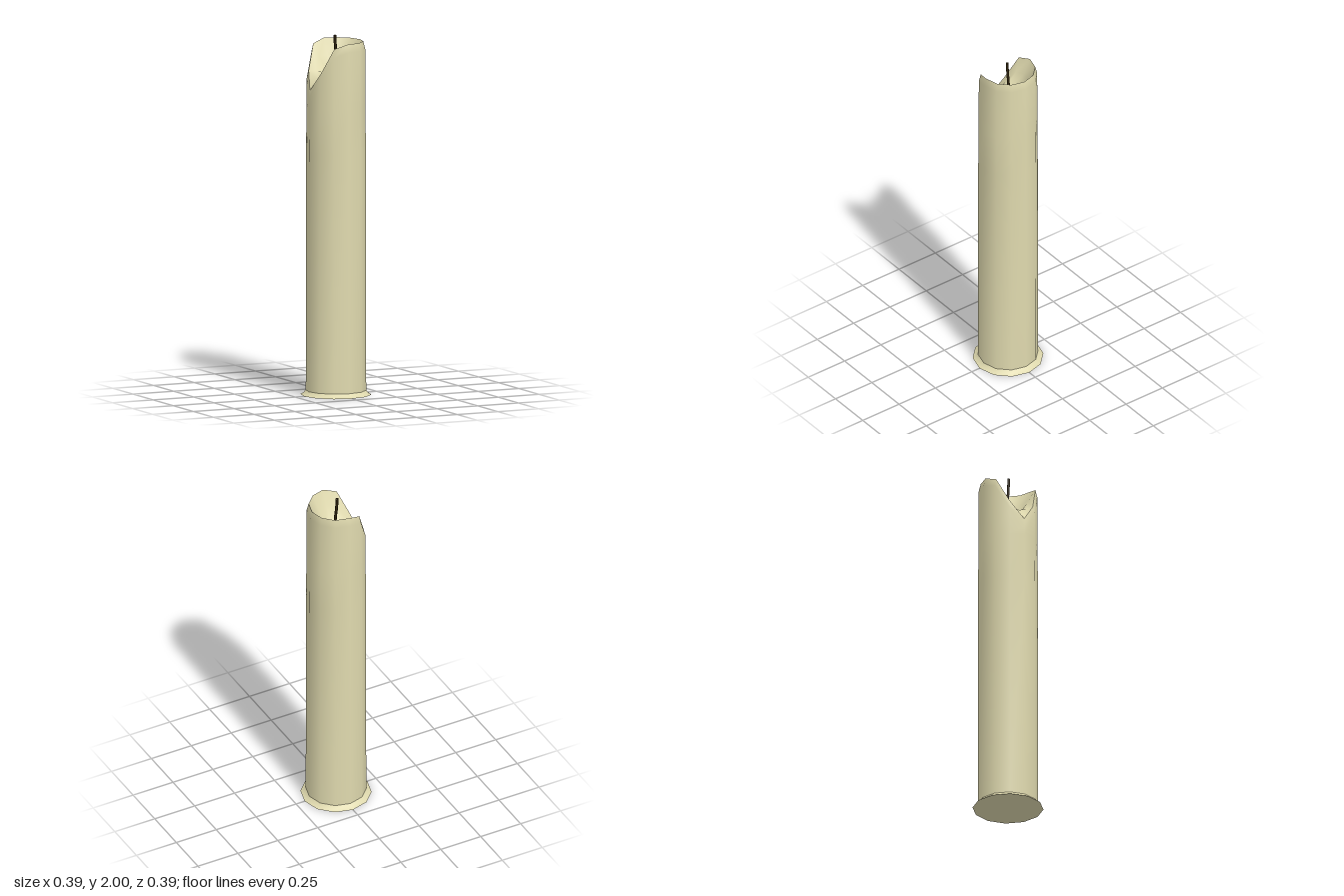
import * as THREE from 'three';

const SIDES = 12;
// How far the rim has melted down, by steps away from the -x spout
const MELT = [0.265, 0.165, 0.025];

// Turned surface whose points [radius, y, melt share, extra spout radius] sag at the spout
function turned(profile) {
  const pos = [], index = [];
  for (const [r, y, share = 0, extra = 0] of profile) {
    for (let i = 0; i < SIDES; i++) {
      const a = (i / SIDES) * Math.PI * 2;
      const step = Math.abs(i - SIDES / 2);
      const rad = r + (step === 0 ? extra : 0);
      pos.push(rad * Math.cos(a), y - share * (MELT[step] ?? 0), rad * Math.sin(a));
    }
  }
  for (let j = 0; j < profile.length - 1; j++) {
    for (let i = 0; i < SIDES; i++) {
      const k = (i + 1) % SIDES;
      const a = j * SIDES + i, b = j * SIDES + k;
      const c = a + SIDES, d = b + SIDES;
      index.push(a, c, b, b, c, d);
    }
  }
  const geo = new THREE.BufferGeometry();
  geo.setAttribute('position', new THREE.Float32BufferAttribute(pos, 3));
  geo.setIndex(index);
  geo.computeVertexNormals();
  return geo;
}

export function createModel() {
  const wax = new THREE.MeshStandardMaterial({ color: 0xdfd9ae });
  wax.name = 'wax';
  const char = new THREE.MeshStandardMaterial({ color: 0x2a1f0a });
  char.name = 'charred wick';

  const group = new THREE.Group();
  group.name = 'candle';
  const add = (name, geo, mat) => {
    const mesh = new THREE.Mesh(geo, mat);
    mesh.name = name;
    group.add(mesh);
    return mesh;
  };

  // Flat underside
  const bottom = add('underside', new THREE.CircleGeometry(0.196, SIDES), wax);
  bottom.rotation.x = Math.PI / 2;

  // Spread foot of wax
  add('foot', turned([[0.196, 0], [0.18, 0.009], [0.167, 0.024]]), wax);

  // Long shaft with a softened shoulder
  add('shaft', turned([
    [0.167, 0.02], [0.165, 1.35], [0.163, 1.6],
    [0.162, 1.92, 1, 0.002], [0.151, 1.965, 1, 0.009],
  ]), wax);

  // Melted hollow, open at the spout
  add('hollow', turned([
    [0.151, 1.965, 1, 0.009], [0.11, 1.88, 0.5], [0.068, 1.8], [0.04, 1.78], [0.0005, 1.775],
  ]), wax);

  // Slightly bent wick
  const path = new THREE.CatmullRomCurve3([
    new THREE.Vector3(0.004, 1.76, 0),
    new THREE.Vector3(0.005, 1.86, 0),
    new THREE.Vector3(-0.004, 1.94, 0),
    new THREE.Vector3(-0.007, 1.999, 0),
  ]);
  add('wick', new THREE.TubeGeometry(path, 6, 0.008, 6), char);
  const tip = add('wickTip', new THREE.CircleGeometry(0.008, 6), char);
  tip.rotation.x = -Math.PI / 2;
  tip.position.set(-0.007, 1.9995, 0);

  return group;
}
